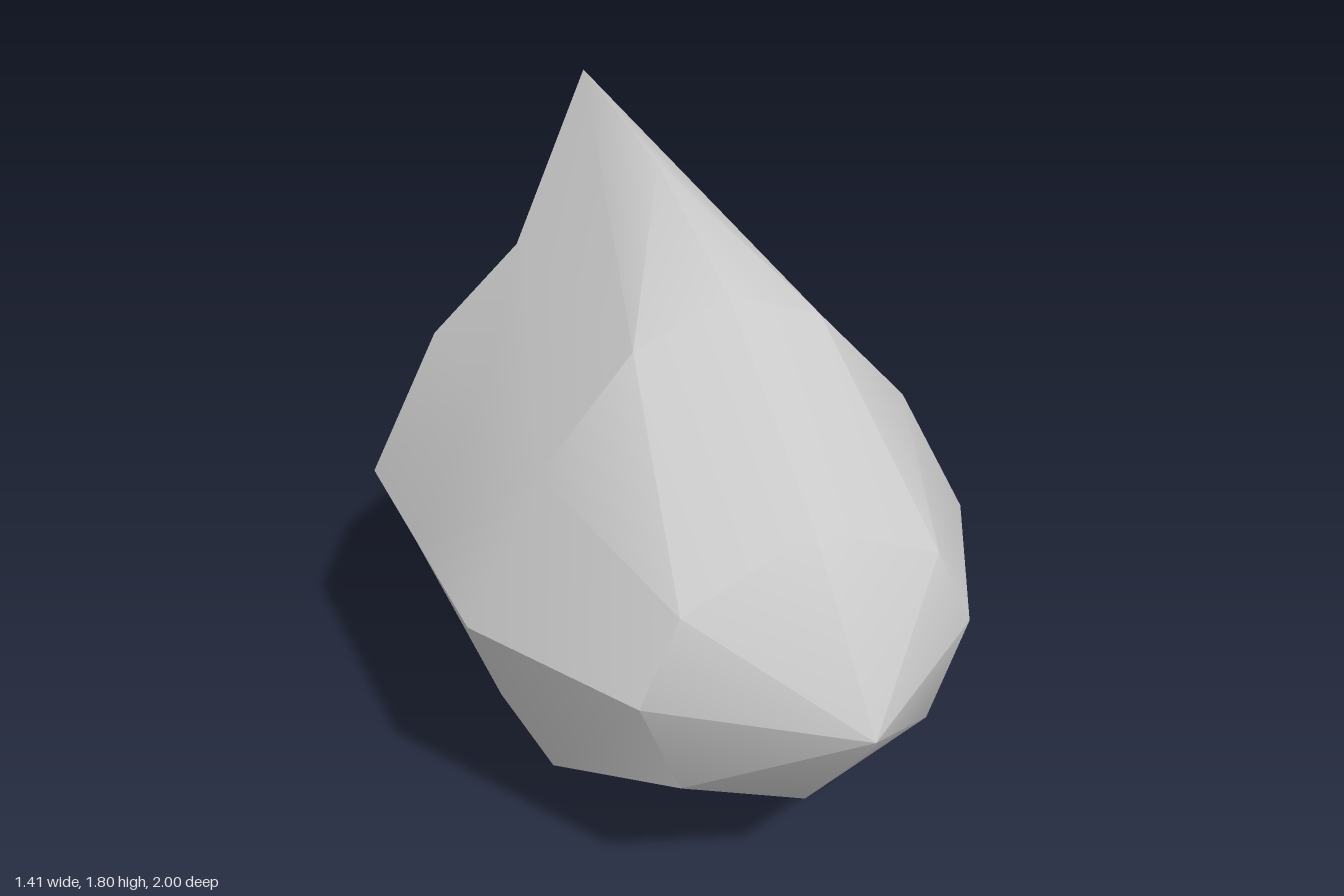
import * as THREE from 'three';
import { toCreasedNormals } from 'three/addons/utils/BufferGeometryUtils.js';

// Faces are corner lists, counter-clockwise from outside; each becomes a triangle fan.
function fromFaces(faces, crease) {
  const pos = [];
  for (const f of faces)
    for (let i = 1; i < f.length - 1; i++) pos.push(...f[0], ...f[i], ...f[i + 1]);
  const g = new THREE.BufferGeometry();
  g.setAttribute('position', new THREE.Float32BufferAttribute(pos, 3));
  g.computeVertexNormals();
  return toCreasedNormals(g, crease);
}

// Octagonal elliptical sections running towards -z, capped at the far end.
function loft(sections, sides = 8) {
  const rings = sections.map(([x, y, z, rx, ry, tilt = 0]) =>
    Array.from({ length: sides }, (_, i) => {
      const a = (i / sides) * Math.PI * 2;
      const dx = Math.cos(a) * rx;
      return [x + dx, y + Math.sin(a) * ry, z + dx * tilt];
    }));
  const faces = [];
  for (let k = 0; k < rings.length - 1; k++)
    for (let i = 0; i < sides; i++) {
      const j = (i + 1) % sides;
      faces.push([rings[k][i], rings[k][j], rings[k + 1][j], rings[k + 1][i]]);
    }
  faces.push([...rings[rings.length - 1]].reverse());
  return fromFaces(faces, 0.5);
}

// Half sections of the shell, from bottom centre to top centre.
function bodyGeometry() {
  const tip = [0, 0.77, 1];
  const section = (z, pts) => pts.map(([x, y]) => [x, y, z]);
  const a = section(0.67, [[0, 0.35], [0.34, 0.5], [0.445, 0.77], [0.34, 1.0], [0, 1.15]]);
  const b = section(0.19, [[0, 0.06], [0.5, 0.265], [0.705, 0.77], [0.5, 1.16], [0.25, 1.44], [0, 1.54]]);
  const c = section(-0.24, [[0, 0.005], [0.5, 0.2], [0.705, 0.77], [0.5, 1.16]]);
  const d = section(-0.645, [[0, 0.09], [0.5, 0.275], [0.705, 0.77], [0.5, 1.16], [0.25, 1.38]]);
  const ridge = [0, 1.72, -0.24];
  const apex = [0, 1.805, -0.75];
  const half = [];
  // nose
  for (let i = 0; i < 4; i++) half.push([tip, a[i], a[i + 1]]);
  // flank panels
  for (let i = 0; i < 3; i++) {
    half.push([a[i], b[i], b[i + 1], a[i + 1]]);
    half.push([b[i], c[i], c[i + 1], b[i + 1]]);
    half.push([c[i], d[i], d[i + 1], c[i + 1]]);
  }
  // shoulder
  half.push([a[3], b[3], b[4]], [a[3], b[4], a[4]], [a[4], b[4], b[5]]);
  half.push([b[4], b[3], c[3], d[3], d[4]]);
  // crest
  half.push([b[5], b[4], ridge], [ridge, b[4], apex], [apex, b[4], d[4]]);
  // rear wall and back of the crest
  const mid = [0, 1.38, -0.645];
  half.push([[0, 0.77, -0.645], mid, d[4], d[3], d[2], d[1], d[0]], [apex, d[4], mid]);
  const mirrored = half.map(f => f.map(([x, y, z]) => [-x, y, z]).reverse());
  return fromFaces([...half, ...mirrored], 0.56);
}

export function createModel() {
  const group = new THREE.Group();
  const material = new THREE.MeshStandardMaterial({ color: 0xcccccc });
  const add = (name, geometry) => {
    const mesh = new THREE.Mesh(geometry, material);
    mesh.name = name;
    group.add(mesh);
  };

  add('body', bodyGeometry());

  // wind-up key: flattened stem and two flared lobes
  add('keyStem', loft([[0, 0.78, -0.63, 0.095, 0.09], [0, 0.78, -0.845, 0.065, 0.02]]));
  for (const s of [1, -1])
    add(s > 0 ? 'keyLobeLeft' : 'keyLobeRight', loft([
      [s * 0.035, 0.78, -0.835, 0.03, 0.02],
      [s * 0.096, 0.78, -0.91, 0.076, 0.076, 0],
      [s * 0.093, 0.78, -0.987, 0.065, 0.058, -s * 0.2],
    ]));
  return group;
}
